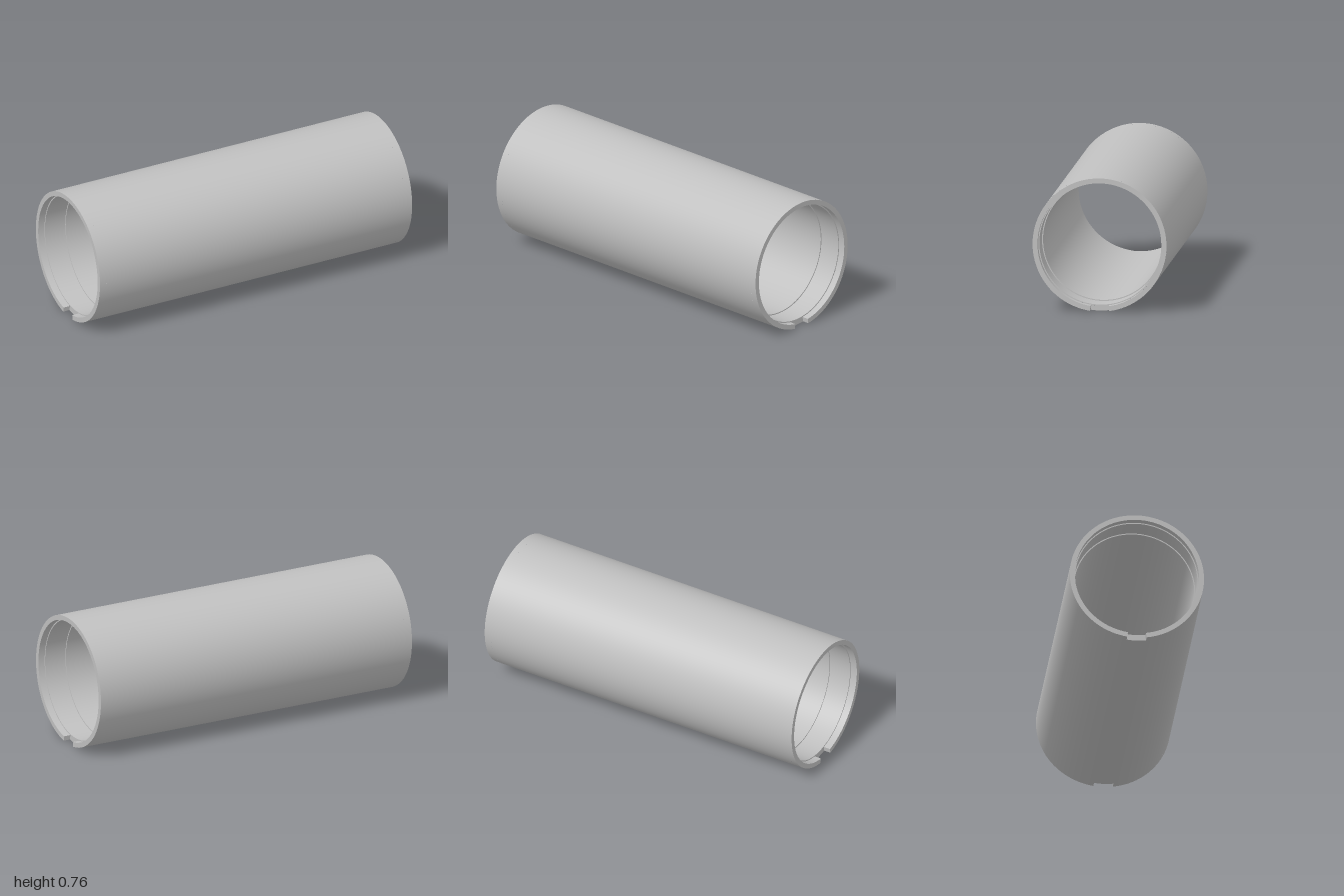
import * as THREE from 'three';

const OUTER = 0.38, RIM = 0.352, STEP = 0.346, BORE = 0.34; // radii
const END = 1, FLOOR = 0.96, STEP_X = 0.83;                 // positions along the axis
const HALF = Math.asin(0.055 / OUTER);                      // half angle of a notch
const DOWN = Math.PI / 2;                                   // lathe angle that ends up facing down

export function createModel() {
  const model = new THREE.Group();
  model.name = 'tube';
  const grey = new THREE.MeshStandardMaterial({ color: 0xc0c0c0 });
  grey.name = 'grey';

  // One lathe per profile segment keeps the edges between segments sharp
  function turn(parent, name, profile, start = DOWN, sweep = Math.PI * 2, sides = 96) {
    for (let i = 0; i < profile.length - 1; i++) {
      const pts = [profile[i], profile[i + 1]].map(([r, y]) => new THREE.Vector2(r, y));
      const mesh = new THREE.Mesh(new THREE.LatheGeometry(pts, sides, start, sweep), grey);
      mesh.name = name;
      parent.add(mesh);
    }
  }

  const axis = new THREE.Group();
  axis.name = 'tubeBody';
  axis.rotation.z = -Math.PI / 2;

  // Outer wall and stepped bore between the notch floors
  turn(axis, 'outerWall', [[OUTER, -FLOOR], [OUTER, FLOOR]]);
  turn(axis, 'innerWall', [
    [RIM, FLOOR], [STEP, FLOOR], [STEP, STEP_X], [BORE, STEP_X],
    [BORE, -STEP_X], [STEP, -STEP_X], [STEP, -FLOOR], [RIM, -FLOOR],
  ]);
  model.add(axis);

  // Notched rim at each end
  for (const side of [0, 1]) {
    const holder = new THREE.Group();
    holder.name = side ? 'rightEnd' : 'leftEnd';
    holder.rotation.y = side * Math.PI;
    const end = new THREE.Group();
    end.name = 'notchedRim';
    end.rotation.z = -Math.PI / 2;

    turn(end, 'rim', [[OUTER, FLOOR], [OUTER, END], [RIM, END], [RIM, FLOOR]],
      DOWN + HALF, Math.PI * 2 - 2 * HALF);
    turn(end, 'notchFloor', [[OUTER, FLOOR], [RIM, FLOOR]], DOWN - HALF, 2 * HALF, 6);

    // Two cheeks of the notch, facing each other
    for (const s of [-1, 1]) {
      const cheek = new THREE.PlaneGeometry(OUTER - RIM, END - FLOOR);
      if (s < 0) cheek.rotateX(Math.PI);
      cheek.translate((OUTER + RIM) / 2, (END + FLOOR) / 2, 0);
      cheek.rotateY(s * HALF);
      const mesh = new THREE.Mesh(cheek, grey);
      mesh.name = 'notchCheek';
      end.add(mesh);
    }
    holder.add(end);
    model.add(holder);
  }

  // Rest the tube on the ground
  model.children.forEach((part) => { part.position.y = OUTER; });
  return model;
}
